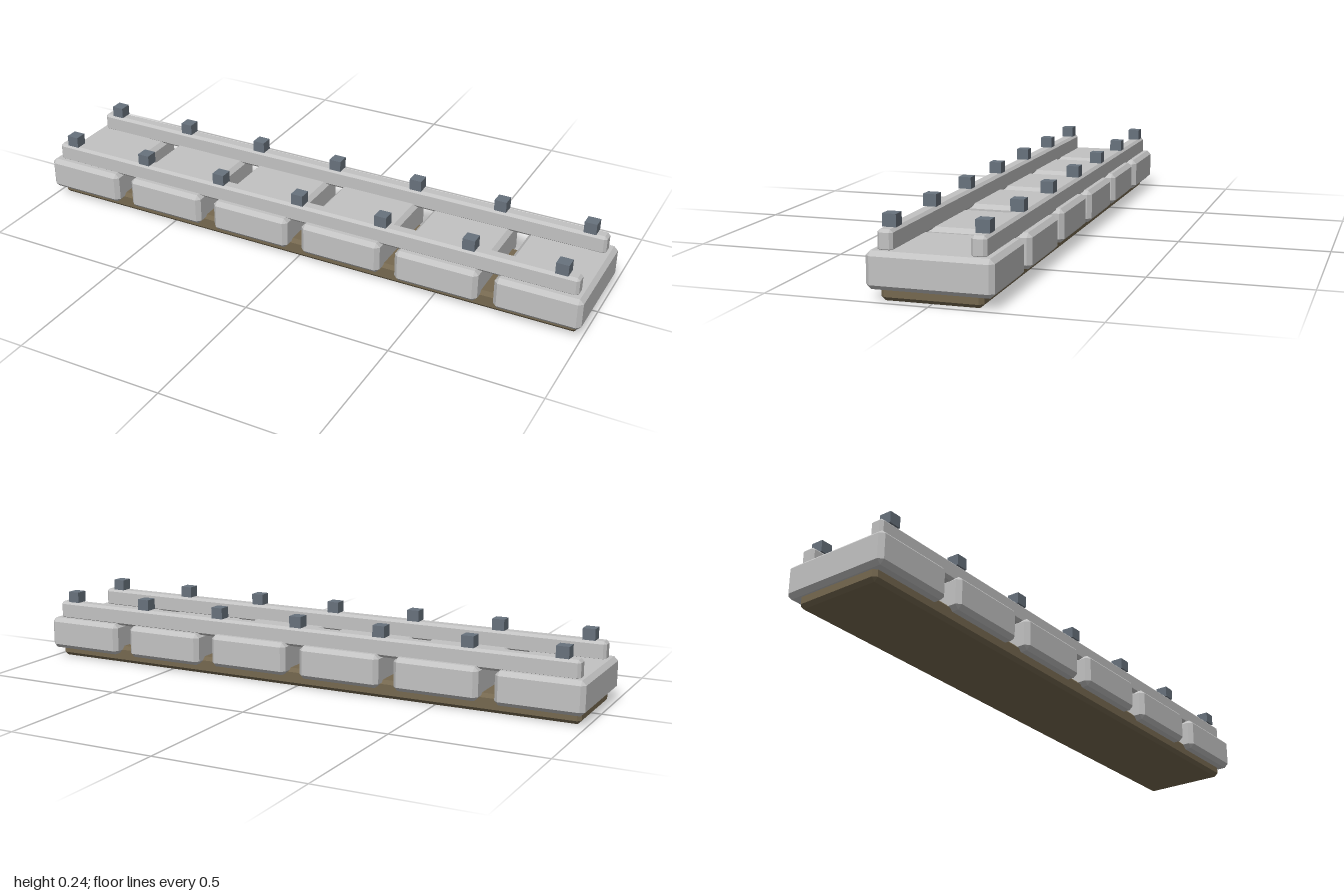
import * as THREE from 'three';
import { ConvexGeometry } from 'three/addons/geometries/ConvexGeometry.js';

// Box with every edge cut by a flat chamfer c
function chamferBox(w, h, d, c) {
  const points = [];
  for (const sx of [-1, 1]) for (const sy of [-1, 1]) for (const sz of [-1, 1]) {
    for (let axis = 0; axis < 3; axis++) {
      const inset = [c, c, c];
      inset[axis] = 0;
      points.push(new THREE.Vector3(
        sx * (w / 2 - inset[0]), sy * (h / 2 - inset[1]), sz * (d / 2 - inset[2])));
    }
  }
  return new ConvexGeometry(points);
}

export function createModel() {
  const model = new THREE.Group();
  const material = (name, color) => {
    const m = new THREE.MeshStandardMaterial({ color });
    m.name = name;
    return m;
  };
  const stone = material('pale stone', 0xc2c2c2);
  const earth = material('brown earth', 0x75684f);
  const metal = material('slate metal', 0x68727d);

  const add = (name, geometry, mat, x, y, z) => {
    const mesh = new THREE.Mesh(geometry, mat);
    mesh.name = name;
    mesh.position.set(x, y, z);
    model.add(mesh);
  };

  // Earth bed under the slabs
  add('bed', chamferBox(1.956, 0.06, 0.304, 0.012), earth, 0, 0.031, 0);

  // Six slabs, set at slightly uneven heights
  const slab = chamferBox(0.288, 0.111, 0.379, 0.014);
  [0.092, 0.095, 0.0945, 0.0965, 0.091, 0.0905].forEach((y, i) => {
    add('slab', slab, stone, -0.854 + i * 0.3416, y, 0);
  });

  // Two rails, each with seven small studs
  const rail = chamferBox(1.946, 0.065, 0.047, 0.009);
  const stud = new THREE.BoxGeometry(0.042, 0.038, 0.042);
  for (const z of [-0.138, 0.138]) {
    add('rail', rail, stone, 0, 0.1715, z);
    for (let i = -3; i <= 3; i++) add('stud', stud, metal, i * 0.305, 0.223, z);
  }
  return model;
}
